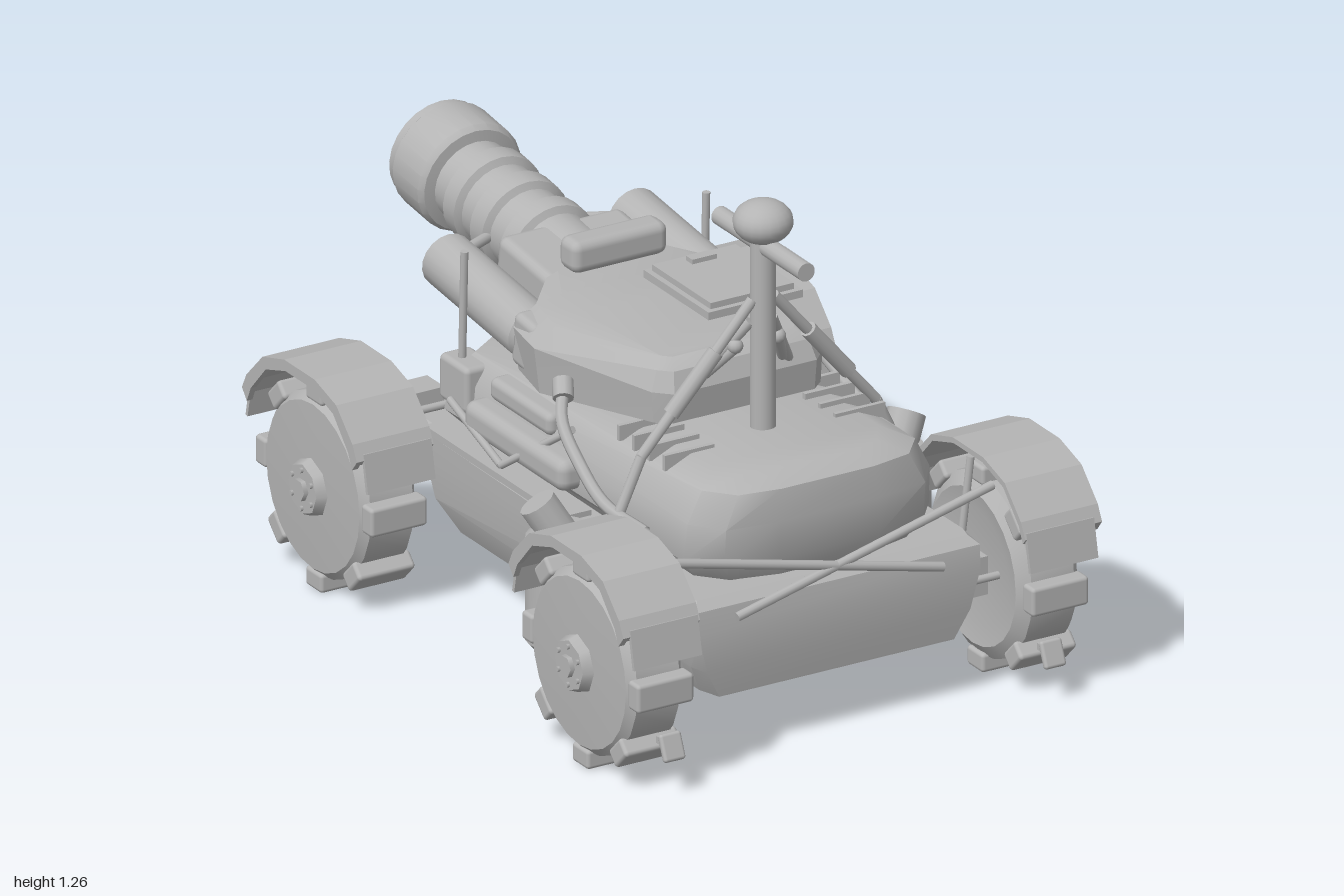
import * as THREE from 'three';
import { toCreasedNormals, mergeVertices } from 'three/addons/utils/BufferGeometryUtils.js';
import { RoundedBoxGeometry } from 'three/addons/geometries/RoundedBoxGeometry.js';

const grey = new THREE.MeshStandardMaterial({ color: 0xb4b4b4, side: THREE.DoubleSide });
grey.name = 'plain grey';

function add(parent, name, geo, x = 0, y = 0, z = 0) {
  const m = new THREE.Mesh(geo, grey);
  m.name = name;
  m.position.set(x, y, z);
  parent.add(m);
  return m;
}
const box = (p, n, w, h, d, x, y, z) => add(p, n, new THREE.BoxGeometry(w, h, d), x, y, z);
const soft = (p, n, w, h, d, x, y, z, r = 0.02) => add(p, n, new RoundedBoxGeometry(w, h, d, 2, r), x, y, z);
const lathe = (pts, n = 24, crease = 0.6) =>
  toCreasedNormals(new THREE.LatheGeometry(pts.map(p => new THREE.Vector2(...p)), n), crease);

// Straight round bar between two points
function rod(p, name, a, b, r, sides = 10) {
  const A = new THREE.Vector3(...a), B = new THREE.Vector3(...b), d = B.clone().sub(A);
  const m = add(p, name, new THREE.CylinderGeometry(r, r, d.length(), sides));
  m.position.copy(A).lerp(B, 0.5);
  m.quaternion.setFromUnitVectors(new THREE.Vector3(0, 1, 0), d.normalize());
  return m;
}
function hose(p, name, pts, r) {
  const c = new THREE.CatmullRomCurve3(pts.map(q => new THREE.Vector3(...q)));
  return add(p, name, new THREE.TubeGeometry(c, 20, r, 8));
}

// Stacked plan outlines: each level is [y, half outline as [x, z, dy] from front to back]
function stack(levels, crease = 0.5) {
  const rings = levels.map(([y, half]) => {
    const right = half.map(([x, z, dy = 0]) => [x, y + dy, z]);
    return right.concat(right.map(([x, h, z]) => [-x, h, z]).reverse());
  });
  const n = rings[0].length, idx = [], last = (rings.length - 1) * n;
  for (let i = 0; i < rings.length - 1; i++) for (let j = 0; j < n; j++) {
    const k = (j + 1) % n, a = i * n + j, b = i * n + k;
    idx.push(a, b, b + n, a, b + n, a + n);
  }
  // Caps are strips joining left and right halves
  for (let j = 0; j < n / 2 - 1; j++) {
    const o = n - 1 - j;
    idx.push(j, o, j + 1, j + 1, o, o - 1);
    idx.push(last + j, last + j + 1, last + o, last + j + 1, last + o - 1, last + o);
  }
  const g = new THREE.BufferGeometry();
  g.setAttribute('position', new THREE.Float32BufferAttribute(rings.flat(2), 3));
  g.setIndex(idx);
  return toCreasedNormals(g, crease);
}

// Bent strip running over a wheel, extruded across x
function strip(pts, t, width) {
  const s = new THREE.Shape();
  pts.forEach(([u, v], i) => (i ? s.lineTo(u, v) : s.moveTo(u, v)));
  [...pts].reverse().forEach(([u, v]) => s.lineTo(u * (1 - t * 3), v - t));
  const g = new THREE.ExtrudeGeometry(s, { depth: width, bevelEnabled: false });
  g.translate(0, 0, -width / 2);
  return g.rotateY(Math.PI / 2);
}

function makeWheel(parent, z, end) {
  const w = new THREE.Group();
  w.name = end > 0 ? 'frontWheel' : 'rearWheel';
  w.position.set(0.555, 0.27, z);
  parent.add(w);
  const tyre = lathe([[0, -0.075], [0.15, -0.075], [0.2, -0.085], [0.235, -0.06], [0.235, 0.06], [0.215, 0.08], [0.1, 0.085], [0, 0.085]], 24);
  add(w, 'wheelDrum', tyre).rotation.z = -Math.PI / 2;
  const hub = add(w, 'hub', new THREE.CylinderGeometry(0.065, 0.078, 0.03, 8), 0.095);
  hub.rotation.z = -Math.PI / 2;
  add(w, 'hubNut', new THREE.CylinderGeometry(0.028, 0.03, 0.03, 6), 0.107).rotation.z = -Math.PI / 2;
  for (let i = 0; i < 8; i++) {
    const a = i * Math.PI / 4;
    const lug = soft(w, 'treadLug', 0.16, 0.05, 0.075, 0, Math.cos(a) * 0.245, Math.sin(a) * 0.245, 0.01);
    lug.rotation.x = a;
    if (i < 6) {
      const b = i * Math.PI / 3;
      add(w, 'hubBolt', new THREE.CylinderGeometry(0.007, 0.007, 0.01, 6), 0.112, Math.cos(b) * 0.05, Math.sin(b) * 0.05).rotation.z = Math.PI / 2;
    }
  }
  // Scraper hook beside the tread
  soft(w, 'scraper', 0.06, 0.07, 0.018, -0.02, -0.145, end * 0.262, 0.008).rotation.x = -end * 0.4;
  box(w, 'scraperArm', 0.03, 0.018, 0.05, -0.02, -0.14, end * 0.24);

  // Fender arch, outer lip and hanging flaps
  const arch = [[-0.265, 0.17], [-0.245, 0.21], [-0.17, 0.285], [-0.07, 0.315], [0.07, 0.315], [0.17, 0.285], [0.245, 0.21], [0.265, 0.17]];
  add(w, 'fender', strip(arch, 0.014, 0.2), 0.002);
  add(w, 'fenderLip', strip(arch, 0.028, 0.016), 0.11);
  for (const s of [-1, 1]) {
    const flap = box(w, 'fenderFlap', 0.19, 0.1, 0.01, 0.002, 0.135, s * 0.268);
    flap.rotation.x = -s * 0.2;
  }
  rod(w, 'fenderStay', [-0.09, 0.29, 0], [-0.12, 0.05, 0], 0.01);
}

function makeSide() {
  const g = new THREE.Group();
  g.name = 'sideAssembly';
  makeWheel(g, 0.715, 1);
  makeWheel(g, -0.515, -1);
  box(g, 'frontAxleBlock', 0.16, 0.1, 0.11, 0.42, 0.265, 0.715);
  rod(g, 'rearAxleRail', [0, 0.29, -0.48], [0.48, 0.29, -0.48], 0.022);
  rod(g, 'rearAxleRail', [0, 0.27, -0.54], [0.48, 0.27, -0.54], 0.028);
  box(g, 'rearSuspensionArm', 0.2, 0.06, 0.08, 0.38, 0.43, -0.53);
  rod(g, 'rearCrossStay', [0.3, 0.47, -0.38], [0.47, 0.47, -0.38], 0.01);

  // Canister with angled neck
  const can = lathe([[0, -0.165], [0.07, -0.165], [0.088, -0.145], [0.088, 0.12], [0.07, 0.145], [0, 0.15]], 16);
  add(g, 'canister', can, 0.47, 0.31, 0.36);
  rod(g, 'canisterNeck', [0.47, 0.43, 0.36], [0.52, 0.52, 0.33], 0.048, 12);
  box(g, 'canisterBracket', 0.12, 0.08, 0.08, 0.38, 0.37, 0.36);

  // Side locker, rail and rear locker
  soft(g, 'sideLocker', 0.1, 0.085, 0.46, 0.355, 0.52, 0.02, 0.03);
  box(g, 'sideShelf', 0.08, 0.018, 0.64, 0.37, 0.425, -0.05);
  soft(g, 'rearLocker', 0.09, 0.12, 0.13, 0.33, 0.56, -0.3, 0.015);
  soft(g, 'deckBox', 0.1, 0.06, 0.28, 0.31, 0.6, -0.02, 0.02);

  // Engine deck fins
  for (let i = 0; i < 4; i++) box(g, 'deckFin', 0.14, 0.04, 0.012, 0.24, 0.665, 0.36 + i * 0.07);

  // Mast struts with collars
  rod(g, 'mastStrut', [0.03, 1.01, 0.52], [0.33, 0.66, 0.5], 0.014);
  rod(g, 'mastStrutSleeve', [0.13, 0.895, 0.515], [0.25, 0.755, 0.505], 0.021);
  rod(g, 'mastStrutLower', [0.33, 0.66, 0.5], [0.45, 0.4, 0.5], 0.014);
  rod(g, 'innerStrut', [0.03, 0.95, 0.51], [0.2, 0.67, 0.36], 0.014);
  rod(g, 'shortLever', [0.06, 0.88, 0.49], [0.11, 0.8, 0.43], 0.014);
  add(g, 'leverKnob', new THREE.SphereGeometry(0.02, 12, 8), 0.06, 0.885, 0.49);
  hose(g, 'sideHose', [[0.33, 0.71, 0.14], [0.37, 0.65, 0.2], [0.39, 0.58, 0.32], [0.4, 0.53, 0.45], [0.38, 0.51, 0.6]], 0.016);
  rod(g, 'hoseCoupling', [0.325, 0.72, 0.13], [0.345, 0.69, 0.165], 0.026);
  rod(g, 'sideStay', [0.34, 0.62, 0.2], [0.42, 0.47, 0.0], 0.01);
  rod(g, 'sideStay', [0.42, 0.47, 0.0], [0.38, 0.52, -0.3], 0.01);

  // Side tube and antenna
  const tube = lathe([[0, -0.21], [0.06, -0.21], [0.07, -0.2], [0.07, 0.2], [0.06, 0.21], [0, 0.21]], 18);
  add(g, 'sideTube', tube, 0.262, 0.76, -0.31).rotation.x = -Math.PI / 2 + 0.11;
  soft(g, 'tubeMount', 0.11, 0.14, 0.1, 0.265, 0.735, -0.07).rotation.x = 0.11;
  rod(g, 'tubeBrace', [0.27, 0.78, -0.5], [0.1, 0.78, -0.58], 0.014);
  rod(g, 'antenna', [0.34, 0.62, -0.31], [0.34, 0.9, -0.3], 0.01);

  // Crossed front bar, set slightly ahead on each side by its slope
  rod(g, 'crossedBar', [0.45, 0.535, 0.84], [-0.29, 0.37, 0.875], 0.012);
  return g;
}

export function createModel() {
  const root = new THREE.Group();
  root.name = 'rover';

  // Lower hull with tapering floor and raised tail
  add(root, 'lowerHull', stack([
    [0.165, [[0.33, 0.86], [0.35, 0.8], [0.35, -0.3], [0.28, -0.4]]],
    [0.24, [[0.37, 0.87], [0.385, 0.82], [0.385, -0.36], [0.28, -0.43]]],
    [0.34, [[0.395, 0.875], [0.4, 0.82], [0.39, -0.4], [0.27, -0.56]]],
    [0.4, [[0.4, 0.865], [0.4, 0.82], [0.39, -0.46], [0.27, -0.61]]],
    [0.42, [[0.38, 0.84], [0.39, 0.8], [0.37, -0.45], [0.26, -0.59]]],
  ], 0.35));

  // Upper hull with rounded nose
  add(root, 'upperHull', stack([
    [0.41, [[0.12, 0.8], [0.24, 0.77], [0.3, 0.7], [0.3, -0.34], [0.22, -0.38]]],
    [0.47, [[0.14, 0.825], [0.28, 0.8], [0.345, 0.72], [0.36, -0.36], [0.25, -0.41]]],
    [0.57, [[0.14, 0.83], [0.28, 0.81], [0.34, 0.73], [0.35, -0.34], [0.24, -0.39]]],
    [0.65, [[0.13, 0.82], [0.24, 0.8], [0.3, 0.73], [0.31, -0.3, -0.02], [0.22, -0.36, -0.02]]],
    [0.68, [[0.1, 0.77], [0.18, 0.75], [0.23, 0.67], [0.27, -0.26, -0.04], [0.2, -0.32, -0.04]]],
  ], 0.75));

  // Turret
  add(root, 'turret', stack([
    [0.66, [[0.2, 0.43, 0.03], [0.235, 0.4, 0.03], [0.33, 0.03, -0.01], [0.31, -0.1], [0.17, -0.2]]],
    [0.77, [[0.2, 0.44], [0.24, 0.4], [0.345, 0.03], [0.32, -0.11], [0.18, -0.21]]],
    [0.82, [[0.19, 0.42], [0.22, 0.39], [0.29, 0.04], [0.26, -0.1], [0.17, -0.2, 0.01]]],
    [0.84, [[0.17, 0.38], [0.19, 0.36], [0.22, 0.04], [0.2, -0.08], [0.15, -0.18, 0.01]]],
  ], 0.35));
  soft(root, 'mantlet', 0.35, 0.17, 0.27, 0, 0.76, -0.3, 0.025).rotation.x = 0.11;
  box(root, 'hatchFrame', 0.265, 0.02, 0.3, 0.15, 0.85, 0.09);
  box(root, 'hatchLid', 0.235, 0.02, 0.27, 0.15, 0.866, 0.09);
  box(root, 'hatchHandle', 0.07, 0.016, 0.03, 0.15, 0.88, -0.01);
  soft(root, 'sensorBox', 0.27, 0.085, 0.08, 0, 0.89, -0.17, 0.025);
  box(root, 'sensorFoot', 0.1, 0.05, 0.04, 0, 0.835, -0.17);

  // Barrel with ribs and heavy muzzle
  const barrel = lathe([
    [0, -0.1], [0.105, -0.1], [0.105, 0.06], [0.122, 0.07], [0.122, 0.12], [0.105, 0.13], [0.105, 0.19],
    [0.122, 0.2], [0.122, 0.255], [0.108, 0.265], [0.108, 0.315], [0.125, 0.325], [0.125, 0.375], [0.108, 0.385],
    [0.108, 0.44], [0.135, 0.445], [0.145, 0.46], [0.145, 0.575], [0.136, 0.585], [0.136, 0.606], [0.125, 0.61], [0, 0.61]], 24);
  add(root, 'barrel', barrel, 0, 0.76, -0.38).rotation.x = -Math.PI / 2 + 0.12;

  // Mast with head and cross tube
  rod(root, 'mast', [0, 0.62, 0.52], [0, 1.18, 0.52], 0.032, 16);
  add(root, 'mastHead', new THREE.SphereGeometry(0.074, 20, 14), 0, 1.21, 0.52).scale.y = 0.74;
  rod(root, 'mastTube', [0, 1.15, 0.32], [0, 1.15, 0.72], 0.024, 14);

  // Rear fittings
  rod(root, 'axleCollar', [-0.06, 0.275, -0.52], [0.06, 0.275, -0.52], 0.06, 14);
  soft(root, 'tailBox', 0.18, 0.09, 0.12, 0, 0.47, -0.46, 0.02);
  rod(root, 'frontCrossBar', [-0.46, 0.3, 0.85], [0.46, 0.3, 0.85], 0.01);

  // Wheels and fittings, mirrored
  const left = makeSide(), right = makeSide();
  left.name = 'leftSide';
  right.name = 'rightSide';
  right.scale.x = -1;
  root.add(left, right);
  return root;
}
